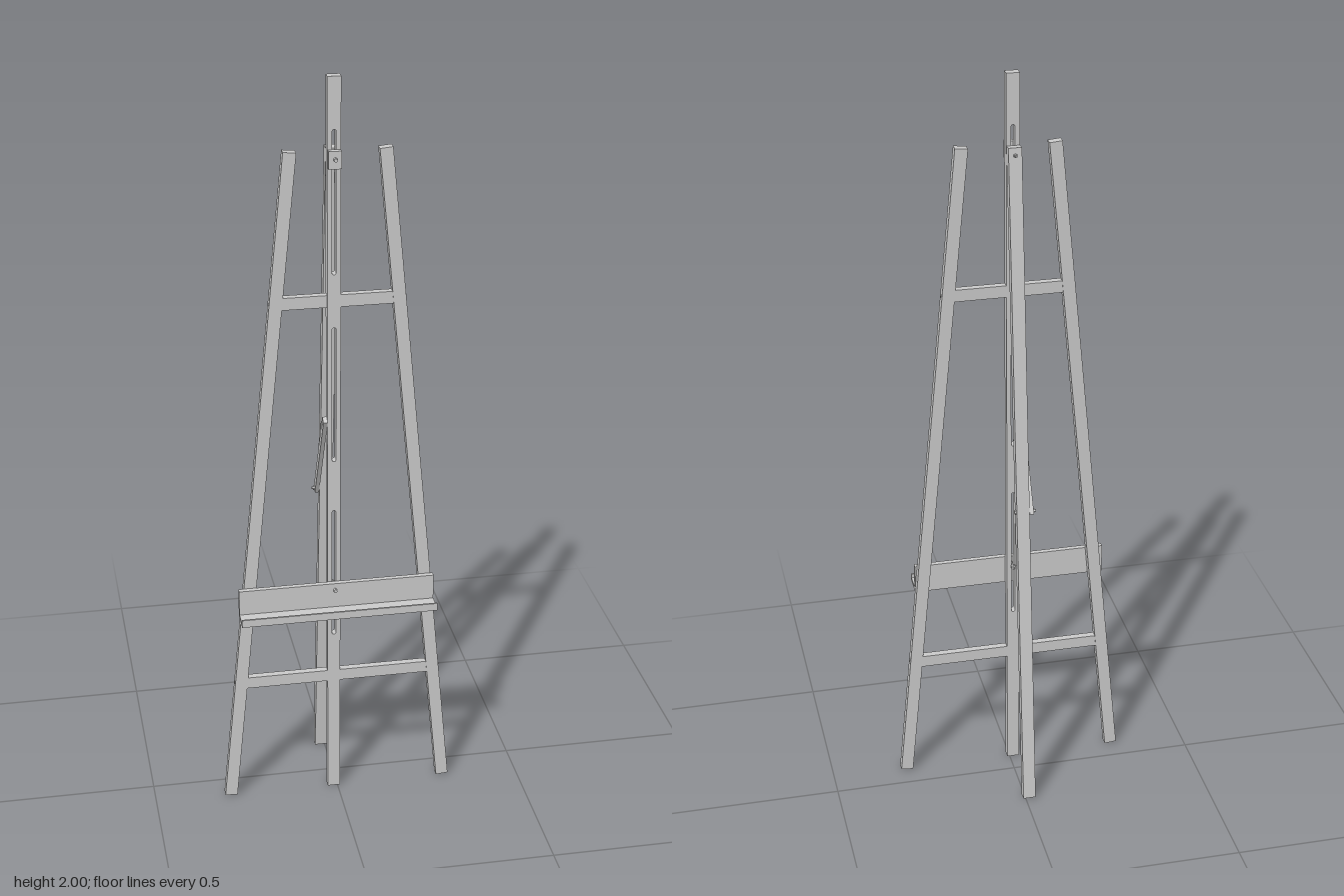
import * as THREE from 'three';

const MAST_X = -0.01; // mast, rear leg and bolts share this offset
const WOOD_Z = 0.069; // mid plane of the front frame

export function createModel() {
  const group = new THREE.Group();
  group.name = 'easel';
  const material = new THREE.MeshStandardMaterial({ color: 0xcccccc, flatShading: true });
  const smooth = new THREE.MeshStandardMaterial({ color: 0xcccccc });

  const add = (name, geometry, mat = material) => {
    const mesh = new THREE.Mesh(geometry, mat);
    mesh.name = name;
    group.add(mesh);
    return mesh;
  };

  // Box given by its min and max corners
  const box = (name, x0, x1, y0, y1, z0, z1) =>
    add(name, new THREE.BoxGeometry(x1 - x0, y1 - y0, z1 - z0))
      .position.set((x0 + x1) / 2, (y0 + y1) / 2, (z0 + z1) / 2);

  // Straight bar between two points, square cut at the ends
  const bar = (name, a, b, width, depth) => {
    const from = new THREE.Vector3(...a), to = new THREE.Vector3(...b);
    const dir = to.clone().sub(from);
    const mesh = add(name, new THREE.BoxGeometry(width, dir.length(), depth));
    mesh.position.copy(from).add(to).multiplyScalar(0.5);
    mesh.quaternion.setFromUnitVectors(new THREE.Vector3(0, 1, 0), dir.normalize());
  };

  // Round rod between two points
  const rod = (name, a, b, radius, sides = 16) => {
    const from = new THREE.Vector3(...a), to = new THREE.Vector3(...b);
    const dir = to.clone().sub(from);
    const mesh = add(name, new THREE.CylinderGeometry(radius, radius, dir.length(), sides),
      sides > 8 ? smooth : material);
    mesh.position.copy(from).add(to).multiplyScalar(0.5);
    mesh.quaternion.setFromUnitVectors(new THREE.Vector3(0, 1, 0), dir.normalize());
  };

  // Mast with three long round-ended slots
  const mast = new THREE.Shape();
  mast.moveTo(-0.017, 0).lineTo(0.017, 0).lineTo(0.017, 2).lineTo(-0.017, 2).closePath();
  const r = 0.005;
  for (const [y0, y1] of [[0.48, 0.85], [0.99, 1.36], [1.5, 1.87]]) {
    const slot = new THREE.Path();
    slot.moveTo(r, y0 + r).lineTo(r, y1 - r);
    slot.absarc(0, y1 - r, r, 0, Math.PI, false);
    slot.lineTo(-r, y0 + r);
    slot.absarc(0, y0 + r, r, Math.PI, Math.PI * 2, false);
    mast.holes.push(slot);
  }
  add('mast', new THREE.ExtrudeGeometry(mast, { depth: 0.023, bevelEnabled: false, curveSegments: 6 }))
    .position.set(MAST_X, 0, 0.0575);

  // Splayed front legs, with a screw into each crossbar end
  for (const side of [1, -1]) {
    const name = side > 0 ? 'left' : 'right';
    bar(name + 'FrontLeg', [side * 0.2945, 0.002, WOOD_Z], [side * 0.1185, 1.818, WOOD_Z], 0.033, 0.023);
    for (const y of [0.355, 1.43]) {
      const x = 0.311 - 0.0968 * y;
      rod(name + 'LegScrew', [side * (x - 0.01), y, WOOD_Z + 0.002], [side * (x + 0.002), y, WOOD_Z + 0.002], 0.004);
    }
  }

  // Crossbars, let into the legs and mast
  for (const [name, y, half] of [['lowerCrossbar', 0.352, 0.255], ['upperCrossbar', 1.43, 0.15]])
    box(name, -half, half, y - 0.016, y + 0.016, 0.0595, 0.0785);

  // Rear leg leaning back from the top of the mast
  bar('rearLeg', [MAST_X, 0.002, -0.137], [MAST_X, 1.818, 0.045], 0.034, 0.024);

  // Clamp block at the top with its through bolt and wing nut
  box('topClamp', MAST_X - 0.016, MAST_X + 0.016, 1.775, 1.82, 0.0805, 0.095);
  rod('topBolt', [MAST_X, 1.8, 0.02], [MAST_X, 1.8, 0.1], 0.0025);
  rod('topBoltHead', [MAST_X, 1.8, 0.095], [MAST_X, 1.8, 0.105], 0.005, 6);
  rod('topNut', [MAST_X, 1.8, 0.026], [MAST_X, 1.8, 0.034], 0.005, 6);

  // Folding strut on the side of the mast and rear leg, with pivots
  bar('strut', [-0.0325, 0.845, -0.058], [-0.0325, 1.108, 0.076], 0.011, 0.02);
  rod('lowerPivot', [-0.046, 0.853, -0.053], [0.012, 0.853, -0.053], 0.003);
  rod('lowerPivotHead', [-0.042, 0.853, -0.053], [-0.038, 0.853, -0.053], 0.006, 6);
  rod('lowerPivotNut', [0.007, 0.853, -0.053], [0.011, 0.853, -0.053], 0.006, 6);
  rod('upperPivot', [-0.04, 1.095, 0.07], [-0.02, 1.095, 0.07], 0.004);

  // Canvas tray: backboard, shelf and front lip
  box('trayBack', -0.264, 0.255, 0.563, 0.642, 0.082, 0.096);
  box('trayShelf', -0.264, 0.255, 0.563, 0.573, 0.096, 0.146);
  box('trayLip', -0.264, 0.255, 0.573, 0.584, 0.141, 0.146);
  rod('trayBolt', [MAST_X, 0.624, 0.046], [MAST_X, 0.624, 0.1], 0.0025);
  rod('trayBoltHead', [MAST_X, 0.624, 0.096], [MAST_X, 0.624, 0.105], 0.005, 6);
  rod('trayNut', [MAST_X, 0.624, 0.05], [MAST_X, 0.624, 0.0575], 0.007, 6);

  return group;
}
